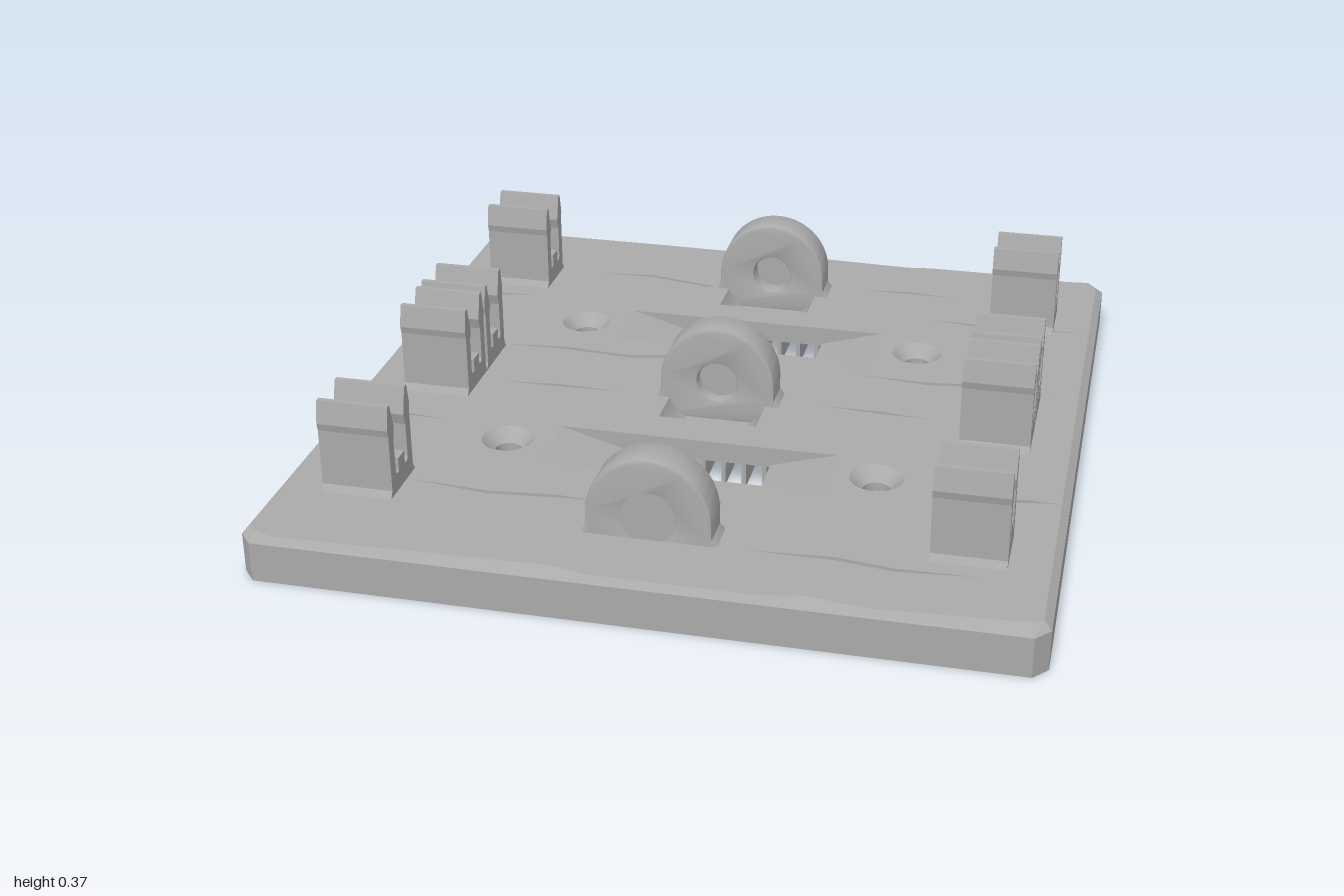
import * as THREE from 'three';
import { toCreasedNormals } from 'three/addons/utils/BufferGeometryUtils.js';

const POCKET_TOP = 0.066, RIM = 0.105, TOP = 0.122;
const TROUGH_Y = 0.18, TROUGH_R = 0.145;

// points are [x, z] seen from above
const flat = (pts) => pts.map(([x, z]) => new THREE.Vector2(x, -z));
const rect = (x0, x1, z0, z1) => [[x0, z0], [x1, z0], [x1, z1], [x0, z1]];
const ring = (cx, cz, r, n = 32) => Array.from({ length: n }, (_, i) => {
  const a = (i / n) * Math.PI * 2;
  return [cx + r * Math.cos(a), cz + r * Math.sin(a)];
});

// horizontal slab between two heights, with holes
function slab(outline, holes, y0, y1) {
  const shape = new THREE.Shape(flat(outline));
  shape.holes = holes.map((h) => new THREE.Path(flat(h)));
  const g = new THREE.ExtrudeGeometry(shape, { depth: y1 - y0, bevelEnabled: false });
  return g.rotateX(-Math.PI / 2).translate(0, y0, 0);
}

// side profile [x, y] extruded along z
function alongZ(pts, z0, z1) {
  const shape = new THREE.Shape(pts.map((p) => new THREE.Vector2(...p)));
  return new THREE.ExtrudeGeometry(shape, { depth: z1 - z0, bevelEnabled: false }).translate(0, 0, z0);
}

// thin pointed sliver following a path
function crack(path, w = 0.014) {
  const last = path.length - 1;
  const inner = path.slice(1, last).map(([x, z]) => [x, z + w]).reverse();
  return [...path, ...inner];
}

// band sloping from an outer loop up to an inner loop
function chamfer(outer, inner) {
  const pos = [];
  outer.forEach((a, i) => {
    const j = (i + 1) % outer.length;
    const A = [a[0], RIM, a[1]], B = [outer[j][0], RIM, outer[j][1]];
    const C = [inner[j][0], TOP, inner[j][1]], D = [inner[i][0], TOP, inner[i][1]];
    pos.push(...A, ...B, ...C, ...A, ...C, ...D);
  });
  const g = new THREE.BufferGeometry();
  g.setAttribute('position', new THREE.Float32BufferAttribute(pos, 3));
  g.computeVertexNormals();
  return g;
}

export function createModel() {
  const model = new THREE.Group();
  model.name = 'holderPlate';
  const grey = new THREE.MeshStandardMaterial({ color: 0xaaaaaa });
  grey.name = 'grey';
  const add = (name, geometry, parent = model) => {
    const mesh = new THREE.Mesh(geometry, grey);
    mesh.name = name;
    parent.add(mesh);
    return mesh;
  };

  // outlines: the worn front and back edges have uneven chamfers
  const frontX = [-0.89, -0.2, -0.1, 0.3, 0.41, 0.56];
  const frontZ = [0.985, 0.963, 0.985, 0.985, 0.963, 0.985];
  const backX = [0.87, 0.78, 0.45, 0.38, 0.1, 0.04, -0.4, -0.82, -0.88];
  const backZ = [0.978, 0.992, 0.992, 0.982, 0.992, 0.985, 0.992, 0.992, 0.978];
  const outer = [
    [-0.945, 1], ...frontX.map((x) => [x, 1]), [0.945, 1], [0.98, 0.96],
    [0.98, -0.96], [0.945, -1], ...backX.map((x) => [x, -1]), [-0.945, -1], [-0.98, -0.96], [-0.98, 0.96],
  ];
  const inner = [
    [-0.94, 0.968], ...frontX.map((x, i) => [x, frontZ[i]]), [0.935, 0.96], [0.96, 0.945],
    [0.96, -0.95], [0.935, -0.985], ...backX.map((x, i) => [x, -backZ[i]]), [-0.935, -0.985], [-0.965, -0.95], [-0.965, 0.945],
  ];

  // openings through the deck, mirrored front to back
  const pockets = [], openings = [];
  for (const s of [-1, 1]) {
    const box = (x, a, b) => rect(-x, x, Math.min(s * a, s * b), Math.max(s * a, s * b));
    pockets.push(box(0.83, 0.09, 0.665));
    openings.push(box(0.37, 0.28, 0.48), box(0.15, 0.58, 0.71), box(0.15, 0.045, 0.168));
    for (const x of [-0.49, 0.49]) openings.push(ring(x, s * 0.375, 0.07));
  }

  // weathered cracks in the top skin
  const cracks = [
    [[-0.55, -0.73], [-0.38, -0.75], [-0.21, -0.715], [-0.175, -0.71]],
    [[0.27, -0.78], [0.41, -0.795], [0.55, -0.78]],
    [[0.5, -0.61], [0.62, -0.605], [0.8, -0.615], [0.95, -0.61]],
    [[-0.955, -0.515], [-0.89, -0.535], [-0.8, -0.52], [-0.7, -0.525]],
    [[-0.68, -0.175], [-0.5, -0.195], [-0.3, -0.18], [-0.22, -0.2], [-0.04, -0.24], [0.1, -0.225]],
    [[0.33, -0.2], [0.54, -0.192], [0.69, -0.21], [0.9, -0.195]],
    [[-0.955, -0.115], [-0.9, -0.115], [-0.85, -0.105]],
    [[-0.6, 0.055], [-0.45, 0.04], [-0.27, 0.045]],
    [[0.28, 0.01], [0.45, 0.01], [0.58, 0.025]],
    [[-0.955, 0.31], [-0.83, 0.292], [-0.68, 0.31]],
    [[0.62, 0.415], [0.79, 0.425], [0.88, 0.405], [0.955, 0.41]],
    [[-0.67, 0.64], [-0.45, 0.655], [-0.28, 0.637], [-0.17, 0.645]],
    [[0.24, 0.795], [0.45, 0.78], [0.6, 0.8], [0.8, 0.795]],
  ].map((p) => crack(p));

  add('baseFrame', slab(outer, pockets, 0, POCKET_TOP));
  add('deck', slab(outer, openings, POCKET_TOP, RIM));
  add('topSkin', slab(inner, [...openings, ...cracks], RIM, TOP));
  add('edgeChamfer', chamfer(outer, inner));

  // underside fins, interrupted by windows, screw holes and troughs
  for (let k = -14; k <= 15; k++) {
    const x = -0.04 + 0.055 * k, ax = Math.abs(x);
    let spans = [[0.09, 0.665, POCKET_TOP]];
    if (ax < 0.1) {
      spans = [[0.09, 0.168, 0.04], [0.168, 0.28, POCKET_TOP], [0.48, 0.58, POCKET_TOP], [0.58, 0.665, 0.04]];
    } else if (ax < 0.2) spans = [[0.09, 0.28, POCKET_TOP], [0.48, 0.665, POCKET_TOP]];
    else if (Math.abs(ax - 0.49) < 0.04) spans = [[0.09, 0.34, POCKET_TOP], [0.41, 0.665, POCKET_TOP]];
    for (const s of [-1, 1]) for (const [a, b, h] of spans) {
      add('fin', new THREE.BoxGeometry(0.012, h, b - a).translate(x, h / 2, s * (a + b) / 2));
    }
  }

  // countersunk screw holes
  const sink = [[0.07, TOP], [0.035, 0.088], [0.035, POCKET_TOP], [0.07, POCKET_TOP]].map((p) => new THREE.Vector2(...p));
  const sinkGeo = toCreasedNormals(new THREE.LatheGeometry(sink, 32), 0.5);
  for (const x of [-0.49, 0.49]) for (const z of [-0.375, 0.375]) add('screwHole', sinkGeo).position.set(x, 0, z);

  // curved trough sides, window ramps
  const arc = [];
  for (let i = 0; i <= 6; i++) {
    const y = POCKET_TOP + (TOP - POCKET_TOP) * i / 6;
    arc.push([Math.sqrt(TROUGH_R ** 2 - (TROUGH_Y - y) ** 2), y]);
  }
  const troughSide = [...arc, [0.151, TOP], [0.151, POCKET_TOP]];
  const ramp = [[0.195, POCKET_TOP], [0.37, POCKET_TOP], [0.37, TOP], [0.195, 0.072]];
  for (const m of [-1, 1]) {
    const flip = (pts) => pts.map(([x, y]) => [x * m, y]);
    for (const [a, b] of [[0.58, 0.71], [0.045, 0.168], [-0.71, -0.58], [-0.168, -0.045]]) {
      add('troughSide', alongZ(flip(troughSide), a, b));
    }
    for (const a of [0.28, -0.48]) add('windowRamp', alongZ(flip(ramp), a, a + 0.2));
  }

  // round-topped end stops with a blind socket on the inner face
  const stop = new THREE.Shape();
  stop.moveTo(-0.15, POCKET_TOP);
  stop.lineTo(0.15, POCKET_TOP);
  stop.lineTo(0.17, TOP);
  stop.lineTo(0.157, 0.137);
  stop.lineTo(0.157, TROUGH_Y);
  stop.absarc(0, TROUGH_Y, 0.157, 0, Math.PI, false);
  stop.lineTo(-0.157, 0.137);
  stop.lineTo(-0.17, TOP);
  stop.holes.push(new THREE.Path().absarc(0, TROUGH_Y, 0.055, 0, Math.PI * 2, true));
  const bevel = 0.008;
  const stopGeo = toCreasedNormals(new THREE.ExtrudeGeometry(stop, {
    depth: 0.1 - 2 * bevel, bevelThickness: bevel, bevelSize: bevel, bevelOffset: -bevel, bevelSegments: 2, curveSegments: 24,
  }).translate(0, 0, bevel - 0.05), 0.5);
  for (const [z, plugZ, depth] of [[-0.75, -0.776, 0.05], [0, 0, 0.03], [0.75, 0.776, 0.05]]) {
    add('endStop', stopGeo).position.z = z;
    const plug = new THREE.CylinderGeometry(0.07, 0.07, depth, 32).rotateX(Math.PI / 2);
    add('socketFloor', plug).position.set(0, TROUGH_Y, plugZ);
  }

  // spring clips: two prongs with a small block between them
  const half = [
    [0.085, 0.115], [0.085, TOP], [0.073, 0.14], [0.073, 0.29], [0.078, 0.31], [0.066, 0.37], [0.052, 0.37],
    [0.033, 0.3], [0.042, 0.27], [0.042, 0.18], [0.036, 0.17], [0.021, 0.17], [0.021, 0.205],
  ];
  const clip = [...half, ...half.map(([u, y]) => [-u, y]).reverse()];
  const clipGeo = alongZ(clip, -0.0925, 0.0925).rotateY(Math.PI / 2);
  for (const x of [-0.765, 0.765]) for (const z of [-0.667, -0.083, 0.083, 0.667]) {
    add('springClip', clipGeo).position.set(x, 0, z);
  }
  return model;
}
